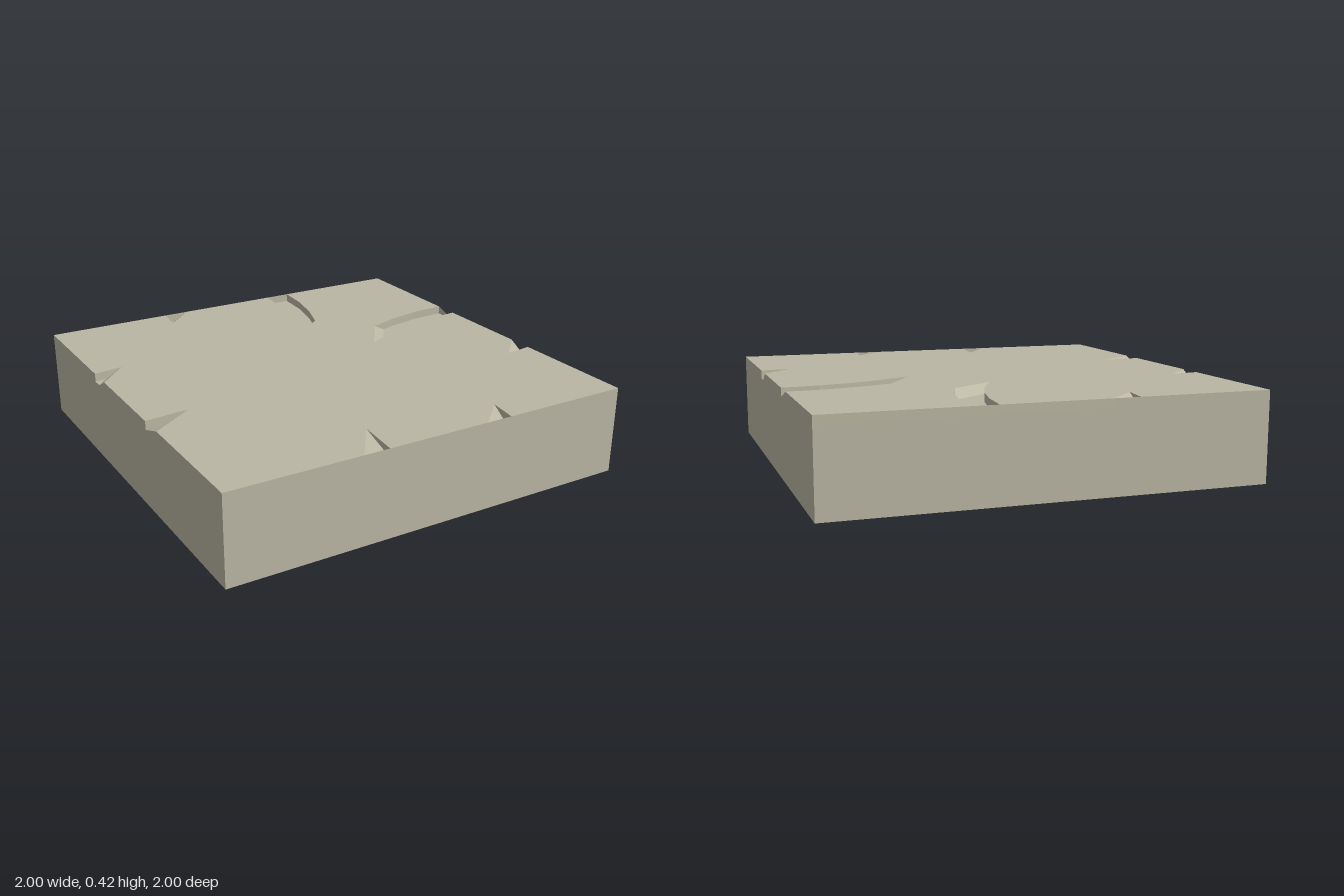
import * as THREE from 'three';
import { ConvexGeometry } from 'three/addons/geometries/ConvexGeometry.js';

const FLOOR = 0.38, TOP = 0.42;

export function createModel() {
  const group = new THREE.Group();
  const mat = new THREE.MeshStandardMaterial({ color: 0xbab6a3, flatShading: true, side: THREE.DoubleSide });
  const add = (name, geo, x = 0, y = 0, z = 0) => {
    const mesh = new THREE.Mesh(geo, mat);
    mesh.name = name;
    mesh.position.set(x, y, z);
    group.add(mesh);
  };
  // the plan is mirrored across its x = -z diagonal
  const mirror = ([x, z]) => [-z, -x];
  const lerp = (a, b, t) => [a[0] + (b[0] - a[0]) * t, a[1] + (b[1] - a[1]) * t];

  // solid lower block; its top is the groove floor
  add('base', new THREE.BoxGeometry(2, FLOOR, 2), 0, FLOOR / 2, 0);

  // short groove ends as [ramp side on border, tip, wall side on border] in x, z
  const leftFront = [[-1, 0.375], [-0.79, 0.23], [-1, 0.25]];
  const leftBack = [[-1, -0.25], [-0.86, -0.395], [-1, -0.375]];
  const backLeft = [[-0.25, -1], [-0.395, -0.86], [-0.375, -1]];
  // long curved groove: inner side to the tip, then outer side back to the border
  const inner = [[0.25, -1], [0.235, -0.83], [0.2, -0.67], [0.15, -0.53], [0.07, -0.37]];
  const outer = [[0.28, -0.51], [0.33, -0.66], [0.365, -0.83], [0.375, -1]];

  // top slab with the grooves cut through it
  const half = [[-1, 1], ...leftFront, ...leftBack, [-1, -1],
    ...[...backLeft].reverse(), ...inner, ...outer, [1, -1]];
  const outline = [...half, ...half.slice(1, -1).map(mirror).reverse()];
  const shape = new THREE.Shape(outline.map(([x, z]) => new THREE.Vector2(x, -z)));
  const slab = new THREE.ExtrudeGeometry(shape, { depth: TOP - FLOOR, bevelEnabled: false });
  slab.rotateX(-Math.PI / 2);
  add('topSlab', slab, 0, FLOOR, 0);

  // ramps where the groove floors rise to the surface: [top a, top b, foot a, foot b]
  const shortRamp = ([e, tip, w], t) => [e, tip, lerp(e, w, t), lerp(tip, w, t)];
  const ramps = [
    shortRamp(leftFront, 0.97), shortRamp(leftBack, 0.6), shortRamp(backLeft, 0.6),
    [inner[4], outer[0], lerp(inner[4], inner[3], 0.5), lerp(outer[0], outer[1], 0.5)],
  ];
  for (const ramp of ramps) {
    for (const r of [ramp, ramp.map(mirror)]) {
      const at = ([x, z], y) => new THREE.Vector3(x, y, z);
      add('grooveRamp', new ConvexGeometry([
        at(r[0], TOP), at(r[1], TOP), ...r.map((p) => at(p, FLOOR)),
      ]));
    }
  }

  // thin walls closing the grooves at the front and back
  for (const x of [-0.3125, 0.3125]) {
    for (const z of [-1, 1]) {
      add('grooveEndWall', new THREE.PlaneGeometry(0.125, TOP - FLOOR), x, (TOP + FLOOR) / 2, z);
    }
  }

  // half wall at the side end of the long groove
  const cap = new THREE.BufferGeometry();
  cap.setAttribute('position', new THREE.Float32BufferAttribute(
    [1, TOP, -0.375, 1, FLOOR, -0.25, 1, FLOOR, -0.375], 3));
  cap.computeVertexNormals();
  add('grooveSideWall', cap);

  return group;
}
